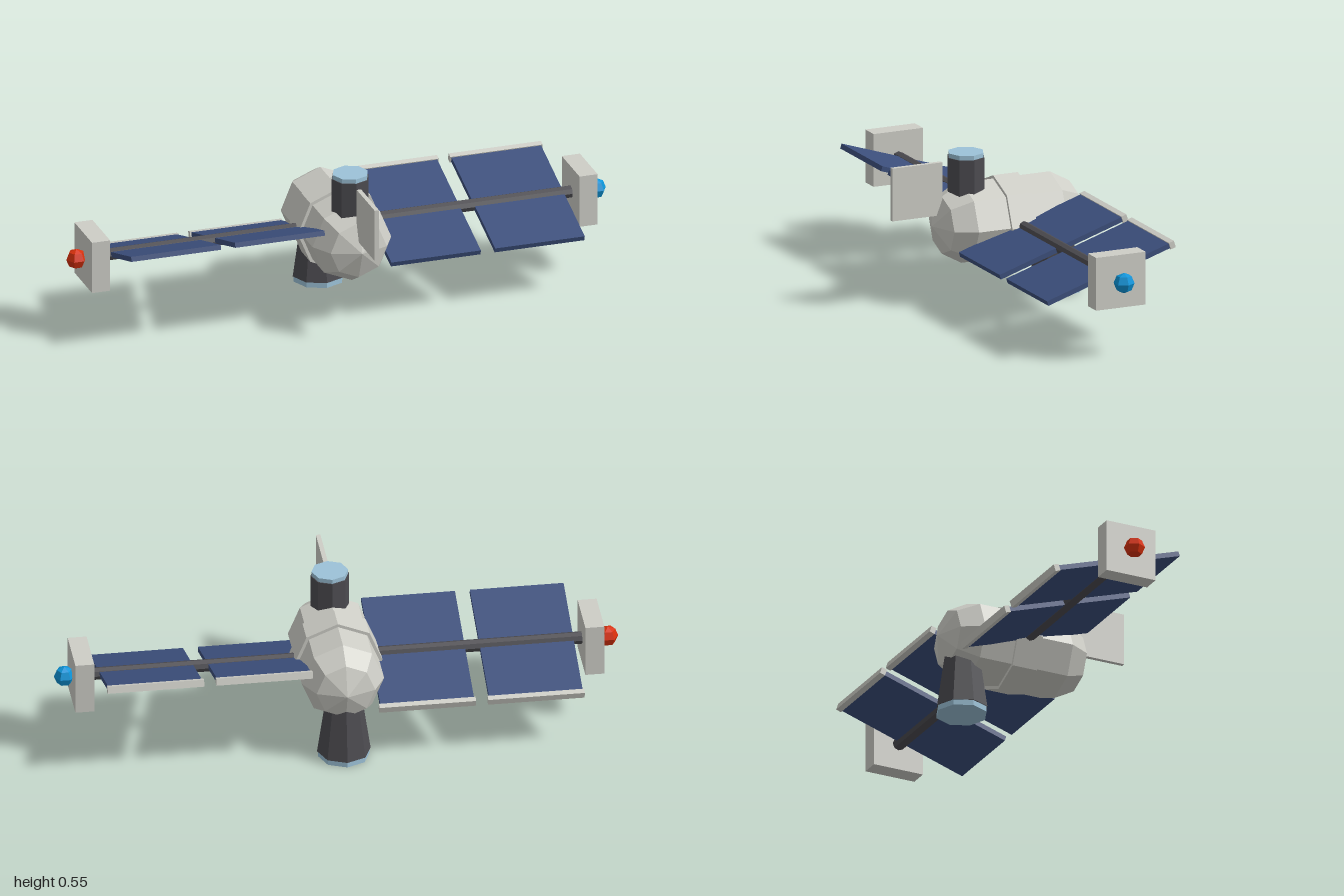
import * as THREE from 'three';

const mat = (name, color) => {
  const m = new THREE.MeshStandardMaterial({ color, flatShading: true });
  m.name = name;
  return m;
};

export function createModel() {
  const hull = mat('hull grey', 0xcdcdc6);
  const dark = mat('dark metal', 0x4c4b50);
  const panelBlue = mat('panel blue', 0x3c4f7c);
  const glass = mat('pale blue', 0x9cc2d8);
  const red = mat('red light', 0xd8300c);
  const blue = mat('blue light', 0x0c94d8);

  const root = new THREE.Group();
  root.name = 'satellite';
  const CY = 0.288, CZ = -0.076; // centre of the hull

  const add = (name, geo, material, x, y, z, parent = root) => {
    const mesh = new THREE.Mesh(geo, material);
    mesh.name = name;
    mesh.position.set(x, y, z);
    parent.add(mesh);
    return mesh;
  };
  const box = (w, h, d) => new THREE.BoxGeometry(w, h, d);

  // Eight-sided hull with faceted ends, lying along z
  const profile = [[0, -0.287], [0.104, -0.248], [0.146, -0.172], [0.146, 0.172], [0.104, 0.248], [0, 0.287]]
    .map(([r, h]) => new THREE.Vector2(r, h));
  add('hull', new THREE.LatheGeometry(profile, 8).rotateX(Math.PI / 2), hull, 0, CY, CZ);
  add('hullBand', new THREE.CylinderGeometry(0.158, 0.158, 0.096, 8).rotateX(Math.PI / 2), hull, 0, CY, CZ);

  // Upper port with its lid
  add('upperPort', new THREE.CylinderGeometry(0.0685, 0.0685, 0.189, 8), dark, 0, 0.4345, 0.078);
  add('upperPortLid', new THREE.CylinderGeometry(0.065, 0.065, 0.03, 8), glass, 0, 0.53, 0.078);

  // Flared lower nozzle with its lens
  add('lowerNozzle', new THREE.CylinderGeometry(0.06, 0.095, 0.24, 8), dark, 0, 0.14, -0.268);
  add('lowerNozzleLens', new THREE.CylinderGeometry(0.092, 0.092, 0.03, 8), glass, 0, 0.015, -0.268);

  // Upright plate at the front
  add('frontFin', box(0.016, 0.192, 0.195), hull, 0, 0.4225, 0.2695);

  // Cross beam through the hull
  add('crossBeam', new THREE.CylinderGeometry(0.0225, 0.0225, 1.76, 8).rotateZ(Math.PI / 2), dark, 0, CY, CZ);

  // Wings: panels tilt in opposite directions on the two sides
  for (const side of [1, -1]) {
    const wing = new THREE.Group();
    wing.name = side > 0 ? 'leftWing' : 'rightWing';
    wing.position.set(0, CY, CZ);
    root.add(wing);

    const panels = new THREE.Group();
    panels.name = 'solarPanels';
    panels.rotation.x = side * Math.PI / 10;
    wing.add(panels);
    for (const x of [0.289, 0.674]) {
      add('solarPanel', box(0.332, 0.018, 0.5), panelBlue, side * x, 0, 0, panels);
      add('panelTrim', box(0.342, 0.025, 0.02), hull, side * x, 0, -0.257, panels);
    }

    add('endBlock', box(0.067, 0.192, 0.192), hull, side * 0.9035, 0, 0, wing);
    add('endLight', new THREE.SphereGeometry(0.037, 6, 4), side > 0 ? blue : red, side * 0.963, 0, 0, wing);
  }
  return root;
}
